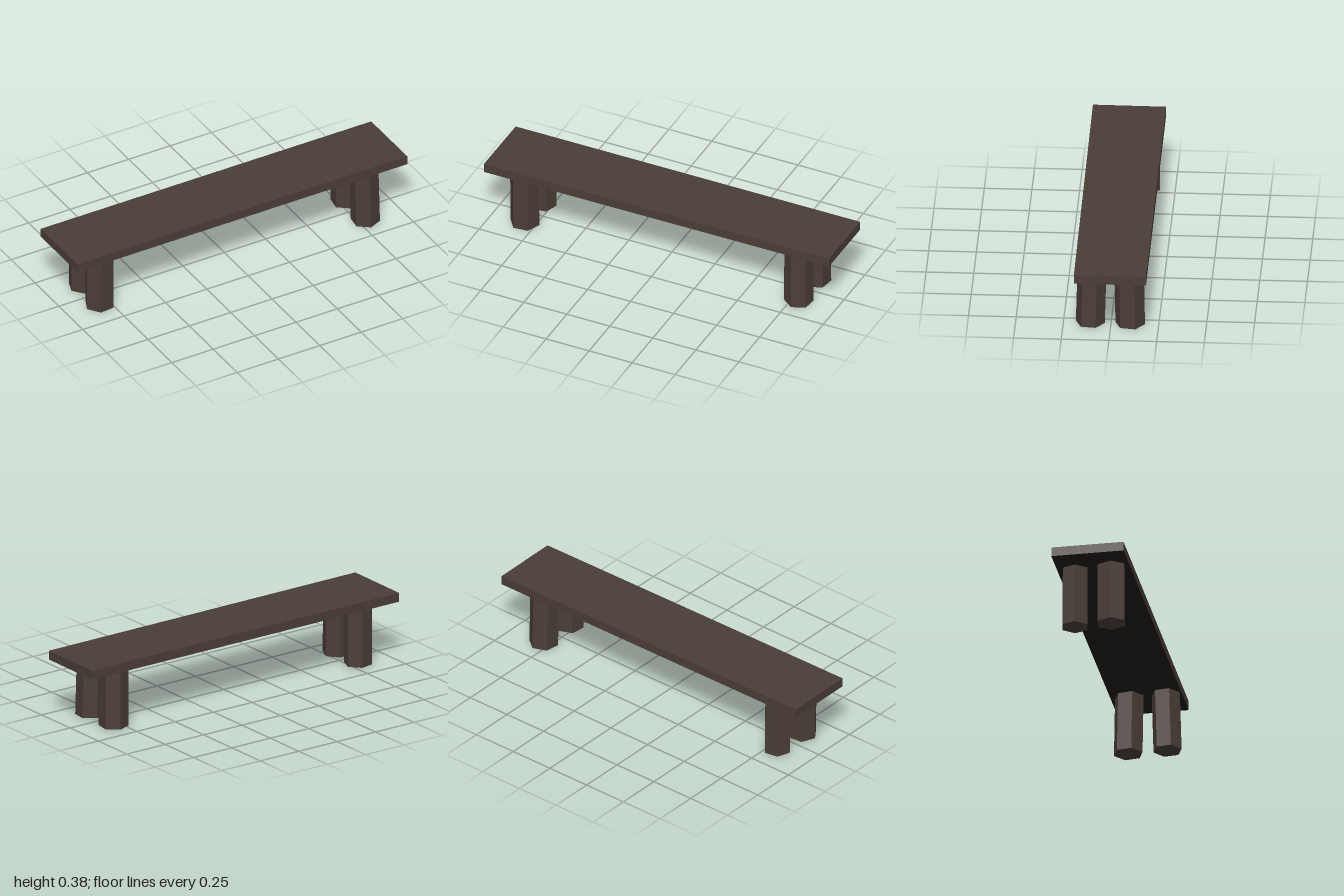
import * as THREE from 'three';

const wood = new THREE.MeshStandardMaterial({ color: 0x4a3d36 });
wood.name = 'dark wood';
const shadowWood = new THREE.MeshStandardMaterial({ color: 0x201a18 });
shadowWood.name = 'blackened wood';

// Flat facets from unshared vertices
function faceted(geometry) {
  const flat = geometry.index ? geometry.toNonIndexed() : geometry;
  flat.computeVertexNormals();
  return flat;
}

// Plank, slightly skewed and sagging towards its left end; darker underside
function makeSeat() {
  const geometry = new THREE.BoxGeometry(2, 0.05, 0.385);
  const p = geometry.attributes.position;
  for (let i = 0; i < p.count; i++) {
    const t = (p.getX(i) + 1) / 2;
    const front = p.getZ(i) > 0;
    const z = front ? THREE.MathUtils.lerp(0.194, 0.184, t) : THREE.MathUtils.lerp(-0.19, -0.194, t);
    const y = p.getY(i) + 0.3545 - 0.0035 * t + (front ? 0.001 : -0.001);
    p.setXYZ(i, p.getX(i), y, z);
  }
  const seat = new THREE.Mesh(faceted(geometry), [wood, wood, wood, shadowWood, wood, wood]);
  seat.name = 'seat';
  return seat;
}

// Hexagonal post leaning from its foot to its top
function makeLeg({ name, foot, top, radius, turn, base }) {
  const height = 0.335 - base;
  const geometry = new THREE.CylinderGeometry(radius, radius, height, 6, 1, false,
    THREE.MathUtils.degToRad(30 - turn));
  const p = geometry.attributes.position;
  for (let i = 0; i < p.count; i++) {
    const t = p.getY(i) / height + 0.5;
    p.setXYZ(i,
      p.getX(i) + THREE.MathUtils.lerp(foot[0], top[0], t),
      base + t * height,
      p.getZ(i) + THREE.MathUtils.lerp(foot[1], top[1], t));
  }
  const leg = new THREE.Mesh(faceted(geometry), wood);
  leg.name = name;
  return leg;
}

export function createModel() {
  const bench = new THREE.Group();
  bench.name = 'bench';
  bench.add(makeSeat());
  const legs = [
    { name: 'frontLeftLeg', foot: [0.79, 0.109], top: [0.786, 0.1], radius: 0.077, turn: 37, base: 0.002 },
    { name: 'backLeftLeg', foot: [0.79, -0.1], top: [0.788, -0.094], radius: 0.079, turn: 38.5, base: 0 },
    { name: 'frontRightLeg', foot: [-0.809, 0.094], top: [-0.811, 0.096], radius: 0.08, turn: 54, base: 0.004 },
    { name: 'backRightLeg', foot: [-0.8, -0.1], top: [-0.802, -0.098], radius: 0.075, turn: 50, base: 0.003 },
  ];
  for (const leg of legs) bench.add(makeLeg(leg));
  return bench;
}
